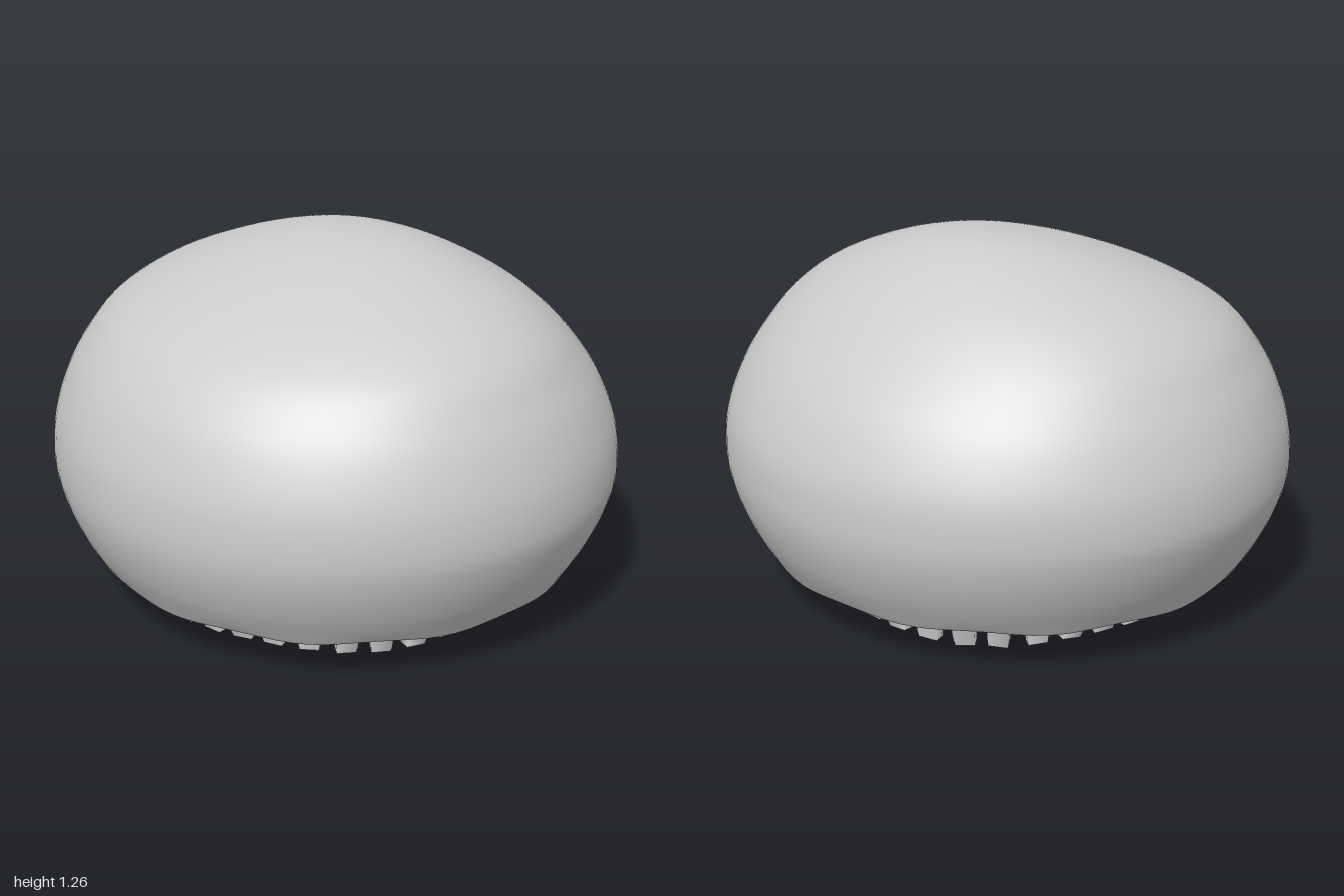
import * as THREE from 'three';

const material = new THREE.MeshStandardMaterial({ color: 0xcccccc, side: THREE.DoubleSide });

// Smooth skin through rings; each ring is [y, x radius, z radius, z centre]
function loft(name, rings, steps, segments, ripple) {
  const spline = (points) => new THREE.CatmullRomCurve3(points, false, 'catmullrom', 0.5);
  const sizes = spline(rings.map(([y, rx, rz]) => new THREE.Vector3(rx, y, rz)));
  const centres = spline(rings.map(([, , , cz = 0]) => new THREE.Vector3(0, 0, cz)));
  const positions = [], index = [];
  for (let i = 0; i <= steps; i++) {
    const p = sizes.getPoint(i / steps), cz = centres.getPoint(i / steps).z;
    for (let j = 0; j < segments; j++) {
      const a = (j / segments) * Math.PI * 2;
      positions.push(p.x * Math.cos(a), p.y + ripple(i / steps, a), cz + p.z * Math.sin(a));
      if (i === steps) continue;
      const k = (j + 1) % segments, b = i * segments, t = b + segments;
      index.push(b + j, t + j, b + k, t + j, t + k, b + k);
    }
  }
  const geometry = new THREE.BufferGeometry();
  geometry.setAttribute('position', new THREE.Float32BufferAttribute(positions, 3));
  geometry.setIndex(index);
  geometry.computeVertexNormals();
  const mesh = new THREE.Mesh(geometry, material);
  mesh.name = name;
  return mesh;
}

// One stubby four-sided tooth with a swollen middle and soft shading
function toothGeometry() {
  const g = new THREE.CylinderGeometry(0.05, 0.046, 0.1, 4, 4, false, Math.PI / 4);
  const p = g.attributes.position;
  for (let i = 0; i < p.count; i++) {
    const v = p.getY(i) / 0.05;
    p.setX(i, p.getX(i) * (1.1 - 0.1 * v * v));
    p.setZ(i, p.getZ(i) * 0.8 + 0.014 * (1 - v * v));
  }
  return g;
}

export function createModel() {
  const model = new THREE.Group();
  model.name = 'domedCreature';

  // Domed body, leaning back at the crown, with a wavy lower edge
  model.add(loft('body', [
    [0.19, 0.82, 0.79], [0.16, 0.84, 0.805], [0.19, 0.865, 0.83], [0.28, 0.92, 0.88],
    [0.39, 0.97, 0.92], [0.5, 0.998, 0.935], [0.64, 0.988, 0.922], [0.78, 0.942, 0.868, 0.005],
    [0.89, 0.882, 0.797, 0.01], [1.0, 0.8, 0.69, 0.01], [1.1, 0.66, 0.545, -0.015],
    [1.18, 0.475, 0.385, -0.045], [1.235, 0.295, 0.235, -0.07], [1.262, 0.14, 0.11, -0.09],
    [1.27, 0, 0, -0.1],
  ], 84, 96, (t, a) => 0.012 * Math.max(0, 1 - t * 6) * Math.sin(a * 11)));

  // Puffy scalloped lip around a shallow pleated mouth
  model.add(loft('lipAndMouth', [
    [0.2, 0, 0, -0.12], [0.197, 0.2, 0.2, -0.08], [0.183, 0.4, 0.39, -0.03], [0.16, 0.53, 0.52],
    [0.13, 0.575, 0.565], [0.108, 0.62, 0.61], [0.114, 0.69, 0.67],
    [0.137, 0.765, 0.735], [0.178, 0.825, 0.79], [0.25, 0.845, 0.81],
  ], 54, 136, (t, a) => {
    const pleat = Math.sin(Math.PI * Math.min(1, t / 0.4));
    const lip = Math.sin(Math.PI * Math.max(0, (t - 0.4) / 0.6));
    return 0.004 * pleat * Math.sin(a * 17 + Math.sin(a * 5)) + 0.005 * lip * Math.sin(a * 17);
  }));

  // Ring of slightly uneven teeth
  const teeth = new THREE.Group();
  teeth.name = 'teeth';
  const tooth = toothGeometry();
  const count = 33;
  for (let i = 0; i < count; i++) {
    const a = (i / count) * Math.PI * 2;
    const mesh = new THREE.Mesh(tooth, material);
    mesh.name = 'tooth';
    mesh.position.set(0.61 * Math.sin(a), 0.075 + 0.01 * Math.sin(i * 0.9), 0.6 * Math.cos(a));
    mesh.rotation.set(0.12 * Math.sin(i * 1.7), a + 0.12 * Math.sin(i * 2.1), 0.1 * Math.sin(i * 3.1), 'YXZ');
    teeth.add(mesh);
  }
  model.add(teeth);
  return model;
}
